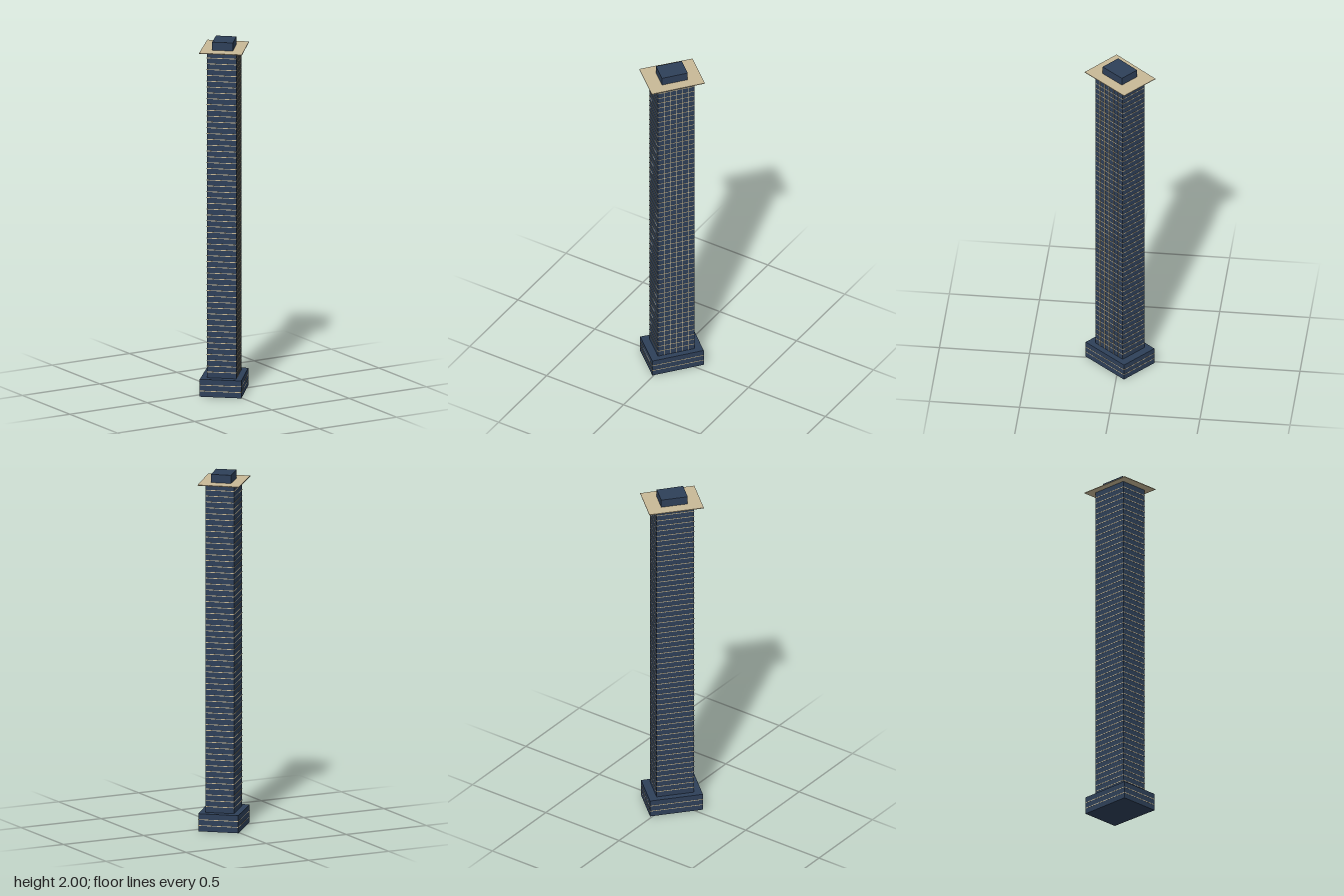
import * as THREE from 'three';

const glass = new THREE.MeshStandardMaterial({ color: 0x2e4059, flatShading: true });
const stone = new THREE.MeshStandardMaterial({ color: 0xc8b997, flatShading: true });

// Site outline as [x, z]; every storey is a scaled copy of it
const plan = [[0.012, -0.199], [0.187, -0.045], [-0.007, 0.195], [-0.187, 0.037]];
const FLOOR = 1.95 / 59;
const BASE = 3 * FLOOR, ROOF = 1.95;
const TOWER = 0.69, PODIUM = 0.972;

function prism(name, scale, y0, y1, material) {
  const shape = new THREE.Shape(plan.map(([x, z]) => new THREE.Vector2(x * scale, -z * scale)));
  const geometry = new THREE.ExtrudeGeometry(shape, { depth: y1 - y0, bevelEnabled: false });
  geometry.rotateX(-Math.PI / 2).translate(0, y0, 0);
  const mesh = new THREE.Mesh(geometry, material);
  mesh.name = name;
  return mesh;
}

export function createModel() {
  const model = new THREE.Group();
  model.name = 'skyscraper';

  // Main volumes
  model.add(
    prism('podium', PODIUM, 0, BASE, glass),
    prism('tower', TOWER, BASE, ROOF, glass),
    prism('roofSlab', 1, ROOF, ROOF + 0.004, stone),
    prism('penthouse', 0.487, ROOF + 0.004, 2, glass),
  );

  // Thin floor bands standing just proud of the glass
  const bands = new THREE.Group();
  bands.name = 'floorBands';
  for (let i = 1; i < 59; i++) {
    if (i === 3) continue;
    const y = i * FLOOR;
    const scale = i < 3 ? PODIUM + 0.006 : TOWER + 0.008;
    bands.add(prism('floorBand', scale, y - 0.002, y + 0.002, stone));
  }
  model.add(bands);

  // Vertical mullions on the front left facade only
  const mullions = new THREE.Group();
  mullions.name = 'mullions';
  const [bx, bz] = plan[1], [cx, cz] = plan[2];
  const angle = Math.atan2(-(cz - bz), cx - bx);
  const bar = new THREE.BoxGeometry(0.003, ROOF - BASE, 0.003);
  for (let i = 1; i < 6; i++) {
    const t = i / 6;
    const mullion = new THREE.Mesh(bar, stone);
    mullion.name = 'mullion';
    mullion.position.set((bx + (cx - bx) * t) * TOWER, (BASE + ROOF) / 2, (bz + (cz - bz) * t) * TOWER);
    mullion.rotation.y = angle;
    mullions.add(mullion);
  }
  model.add(mullions);

  return model;
}
